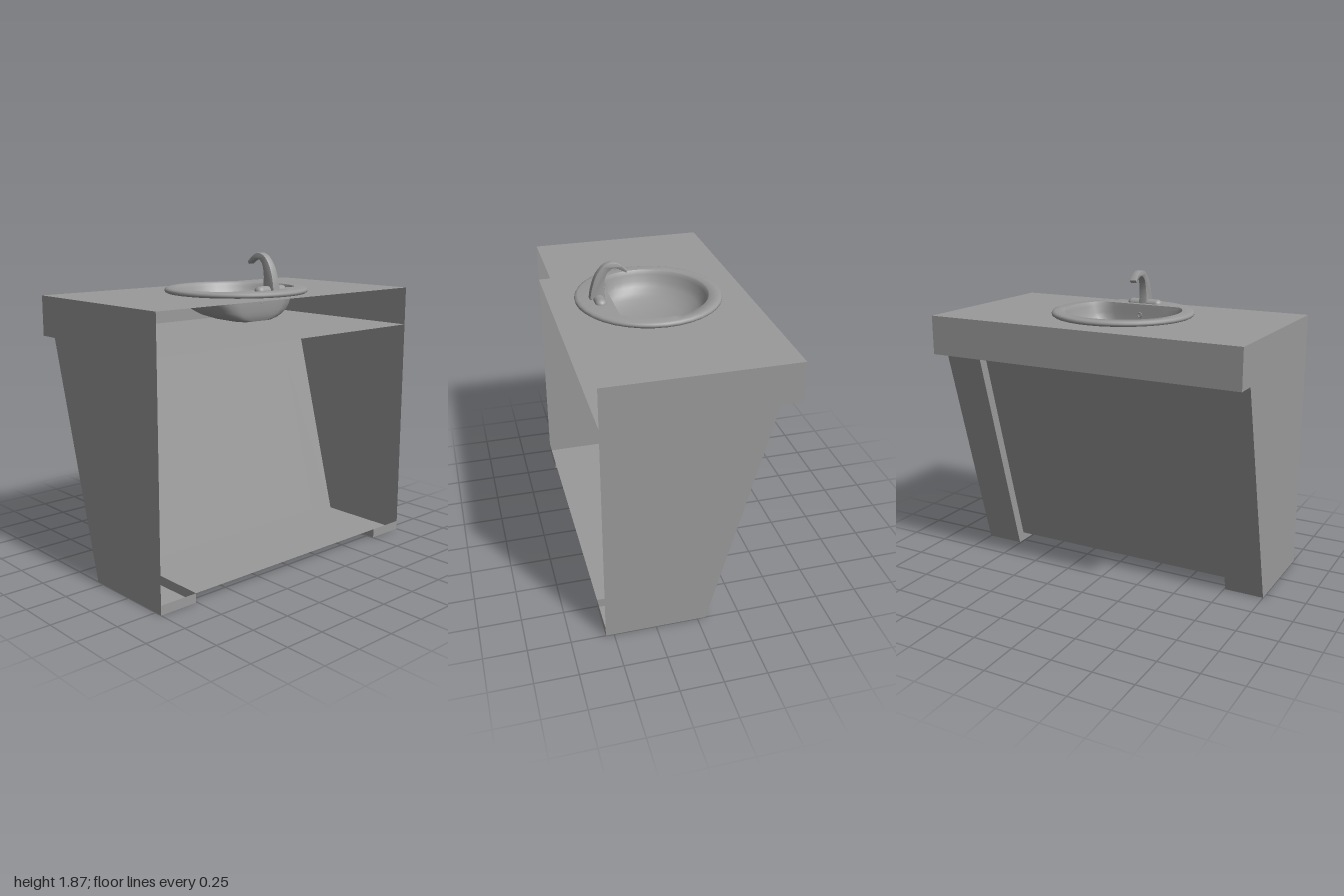
import * as THREE from 'three';
import { toCreasedNormals } from 'three/addons/utils/BufferGeometryUtils.js';

const material = new THREE.MeshStandardMaterial({ color: 0x9a9a9a, side: THREE.DoubleSide });
const TOP = 1.627, SHELF = 1.39, BACK = 0.548, FRONT = -0.548, LEG = 0.757, LIP = 0.056, SINK_Z = 0.035;

function add(group, name, geometry, x = 0, y = 0, z = 0) {
  const mesh = new THREE.Mesh(geometry, material);
  mesh.name = name;
  mesh.position.set(x, y, z);
  group.add(mesh);
  return mesh;
}

// Folded sheet: a [z, y] profile swept straight from x0 to x1
function ribbon(x0, x1, profile) {
  const pos = [];
  for (let i = 0; i < profile.length - 1; i++) {
    const [za, ya] = profile[i], [zb, yb] = profile[i + 1];
    pos.push(x0, ya, za, x0, yb, zb, x1, ya, za);
    pos.push(x1, ya, za, x0, yb, zb, x1, yb, zb);
  }
  const g = new THREE.BufferGeometry();
  g.setAttribute('position', new THREE.Float32BufferAttribute(pos, 3));
  g.computeVertexNormals();
  return g;
}

const shapeOf = (points) => new THREE.Shape(points.map(([a, b]) => new THREE.Vector2(a, b)));

// Flat sheet in the z-y plane, facing +x or -x
function sideSheet(points, facing) {
  const g = new THREE.ShapeGeometry(shapeOf(points)).rotateY(-Math.PI / 2);
  if (facing > 0) g.setIndex([...g.index.array].reverse());
  g.computeVertexNormals();
  return g;
}

// Closed loops of points joined from the first loop to the last
function skin(rings, crease) {
  const n = rings[0].length, index = [];
  for (let i = 0; i < rings.length - 1; i++) {
    for (let j = 0; j < n; j++) {
      const a = i * n + j, b = i * n + (j + 1) % n;
      index.push(a, a + n, b, b, a + n, b + n);
    }
  }
  const g = new THREE.BufferGeometry();
  g.setAttribute('position', new THREE.Float32BufferAttribute(rings.flat(2), 3));
  g.setIndex(index);
  return toCreasedNormals(g, crease);
}

function buildCabinet() {
  const cabinet = new THREE.Group();
  cabinet.name = 'cabinet';
  const side = [[BACK, 0], [-0.05, 0], [-0.424, SHELF], [FRONT, SHELF], [FRONT, TOP], [BACK, TOP]];
  const step = [[BACK, 0], [-0.05, 0], [-0.424, SHELF], [-0.364, SHELF], [-0.005, LIP], [BACK, LIP]];
  for (const s of [1, -1]) {
    const label = s > 0 ? 'left' : 'right';
    add(cabinet, label + 'SidePanel', sideSheet(side, s), s);
    add(cabinet, label + 'LegInnerSide', sideSheet(step, -s), s * LEG);
    add(cabinet, label + 'Leg', ribbon(s > 0 ? LEG : -1, s > 0 ? 1 : -LEG,
      [[BACK, LIP], [BACK, 0], [-0.05, 0], [-0.424, SHELF]]));
  }
  add(cabinet, 'floorAndSlantedPanel', ribbon(-LEG, LEG, [[BACK, LIP], [-0.005, LIP], [-0.364, SHELF]]));
  add(cabinet, 'shelfAndApron', ribbon(-1, 1, [[BACK, SHELF], [FRONT, SHELF], [FRONT, TOP]]));

  // Countertop with a round cut-out hidden under the sink rim
  const top = shapeOf([[-1, -BACK], [1, -BACK], [1, -FRONT], [-1, -FRONT]]);
  top.holes.push(new THREE.Path().absarc(0, -SINK_Z, 0.4, 0, Math.PI * 2, true));
  add(cabinet, 'countertop', new THREE.ShapeGeometry(top, 36).rotateX(-Math.PI / 2), 0, TOP);
  return cabinet;
}

function buildSink() {
  const sink = new THREE.Group();
  sink.name = 'sink';
  const angles = Array.from({ length: 36 }, (_, i) => i * Math.PI / 18);

  // Round rim
  const rim = [[0.425, TOP], [0.434, 1.634], [0.435, 1.643], [0.43, 1.652], [0.415, 1.657]];
  const rings = rim.map(([r, y]) => angles.map((t) => [r * Math.cos(t), y, SINK_Z + r * Math.sin(t)]));

  // Bowl outline cut straight on the faucet side, its corners softer below the edge
  const bowl = [[1, 1.657], [0.985, 1.648], [0.965, 1.63], [0.94, 1.59], [0.89, 1.56], [0.81, 1.527],
    [0.71, 1.503], [0.55, 1.482], [0.36, 1.467], [0.001, 1.465]];
  const mid = 0.225;
  bowl.forEach(([s, y], i) => {
    const p = i < 2 ? 60 : 18;
    rings.push(angles.map((t) => {
      const cut = Math.max(0, Math.sin(t)) / 0.23;
      const r = (0.36 ** -p + cut ** p) ** (-1 / p);
      return [s * r * Math.cos(t), y, mid + s * (SINK_Z + r * Math.sin(t) - mid)];
    }));
  });
  add(sink, 'rimAndBowl', skin(rings, 0.95));

  // Drain and overflow
  add(sink, 'drainRing', new THREE.TorusGeometry(0.032, 0.007, 8, 24).rotateX(Math.PI / 2), 0, 1.473, 0.145);
  add(sink, 'drainPlug', new THREE.CylinderGeometry(0.018, 0.022, 0.014, 20), 0, 1.48, 0.145);
  add(sink, 'overflowRing', new THREE.TorusGeometry(0.014, 0.004, 6, 18), 0, 1.59, 0.259);
  return sink;
}

function buildFaucet() {
  const faucet = new THREE.Group();
  faucet.name = 'faucet';

  // Domed oval base
  const base = new THREE.CapsuleGeometry(0.034, 0.165, 8, 20).rotateZ(Math.PI / 2).scale(1, 0.85, 1);
  add(faucet, 'faucetBase', base, 0, 1.655, 0.335);

  // Arched spout, narrowing towards the tip
  const vec = ([z, y]) => new THREE.Vector2(z, y);
  const spout = new THREE.Shape();
  spout.moveTo(0.385, 1.66);
  spout.splineThru([[0.374, 1.72], [0.347, 1.795], [0.302, 1.85], [0.25, 1.869], [0.205, 1.853], [0.163, 1.818]].map(vec));
  spout.lineTo(0.17, 1.805);
  spout.splineThru([[0.208, 1.828], [0.245, 1.837], [0.28, 1.815], [0.298, 1.77], [0.303, 1.72], [0.3, 1.66]].map(vec));
  const spoutGeo = new THREE.ExtrudeGeometry(spout, {
    depth: 0.04, bevelThickness: 0.006, bevelSize: 0.004, bevelOffset: -0.002, bevelSegments: 2, curveSegments: 24,
  }).translate(0, 0, -0.02).rotateY(-Math.PI / 2);
  const p = spoutGeo.attributes.position;
  for (let i = 0; i < p.count; i++) {
    p.setX(i, p.getX(i) * (1.05 - 0.25 * (p.getY(i) - 1.66) / 0.21));
  }
  add(faucet, 'spout', toCreasedNormals(spoutGeo, 0.7));
  return faucet;
}

export function createModel() {
  const model = new THREE.Group();
  model.name = 'sinkCabinet';
  model.add(buildCabinet(), buildSink(), buildFaucet());
  return model;
}
